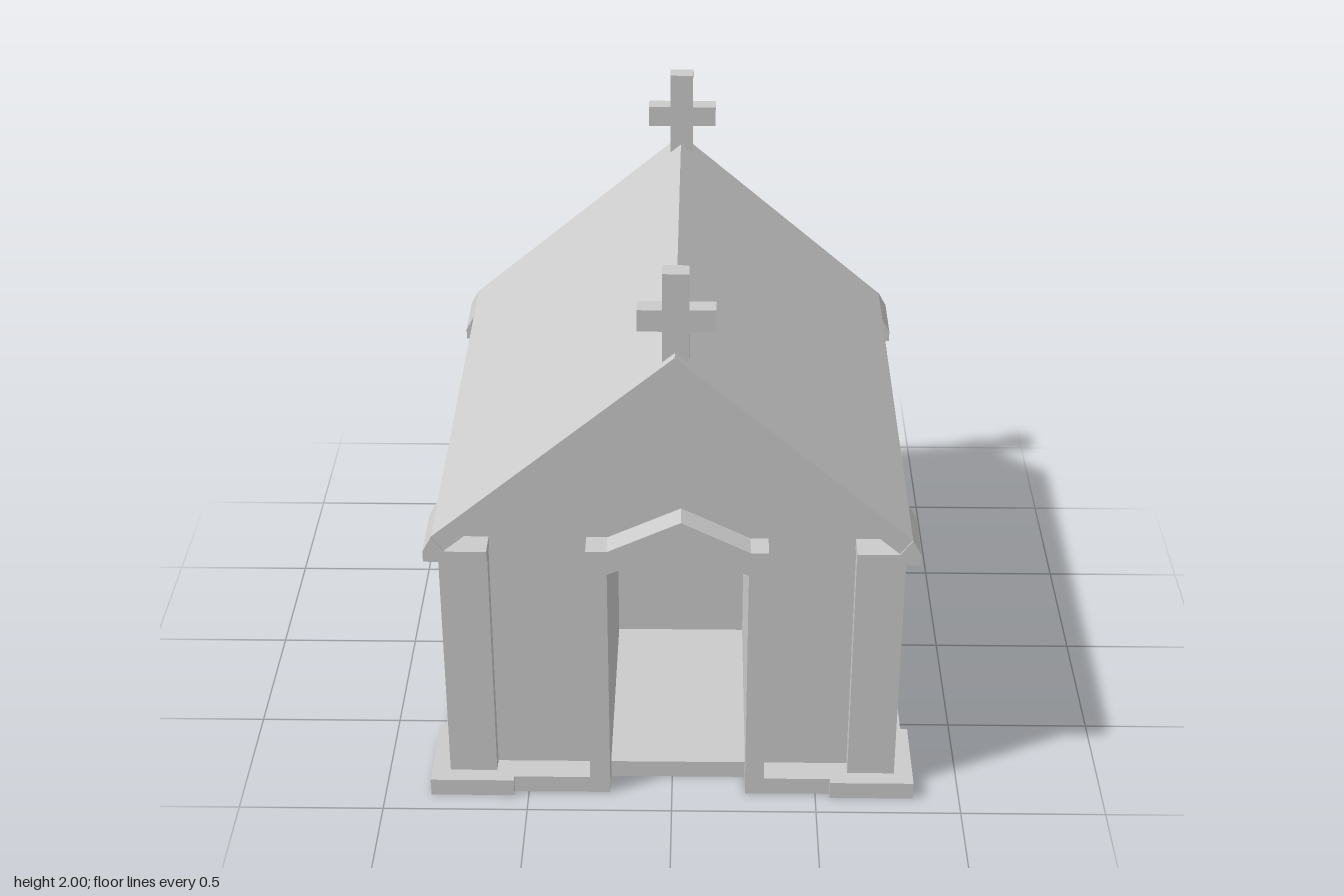
import * as THREE from 'three';

const material = new THREE.MeshStandardMaterial({ color: 0xcccccc, flatShading: true });

function add(parent, name, geometry) {
  const mesh = new THREE.Mesh(geometry, material);
  mesh.name = name;
  parent.add(mesh);
  return mesh;
}

// Box given by its minimum and maximum corners
function box(parent, name, [x0, y0, z0], [x1, y1, z1]) {
  const g = new THREE.BoxGeometry(x1 - x0, y1 - y0, z1 - z0);
  g.translate((x0 + x1) / 2, (y0 + y1) / 2, (z0 + z1) / 2);
  return add(parent, name, g);
}

const shape = (pts) => new THREE.Shape(pts.map(([x, y]) => new THREE.Vector2(x, y)));

// Outline in x, y extruded from z0 to z1
function prism(parent, name, outline, z0, z1) {
  const g = new THREE.ExtrudeGeometry(outline, { depth: z1 - z0, bevelEnabled: false });
  g.translate(0, 0, z0);
  return add(parent, name, g);
}

export function createModel() {
  const model = new THREE.Group();
  model.name = 'chapel';
  const floorY = 0.065, wallX = 0.737, wallZ = 0.81, doorBack = 0;
  const doorL = -0.215, doorR = 0.255;

  // Plinth, cut back in front of the doorway
  const plinth = new THREE.Group();
  plinth.name = 'plinth';
  model.add(plinth);
  box(plinth, 'plinthSlab', [-0.815, 0, -0.9], [0.815, floorY, wallZ]);
  box(plinth, 'plinthFrontRight', [-0.815, 0, wallZ], [doorL, floorY, 0.9]);
  box(plinth, 'plinthFrontLeft', [doorR, 0, wallZ], [0.815, floorY, 0.9]);

  // Walls: the front part has the doorway passage, the back part is solid
  const gable = [[-wallX, floorY], [wallX, floorY], [wallX, 1.01], [0.01, 1.65], [-wallX, 1.01]];
  const frontWall = shape([
    [-wallX, floorY], [doorL, floorY], [doorL, 0.91], [0.03, 1.02], [doorR, 0.91], [doorR, floorY],
    ...gable.slice(1),
  ]);
  prism(model, 'frontWalls', frontWall, doorBack, wallZ);
  prism(model, 'backWalls', shape(gable), -wallZ, doorBack);

  // Door frame with a pointed head
  const frame = shape([
    [-0.285, 0], [doorL, 0], [doorL, 0.91], [0.03, 1.02], [doorR, 0.91], [doorR, 0],
    [0.32, 0], [0.32, 1], [0.26, 1], [0.03, 1.115], [-0.215, 1], [-0.285, 1],
  ]);
  prism(model, 'doorFrame', frame, wallZ - 0.005, 0.901);

  // Gabled roof slab
  const roof = shape([
    [-0.75, 1], [0.01, 1.64], [0.75, 1], [0.79, 1.055], [0.01, 1.725], [-0.79, 1.055],
  ]);
  prism(model, 'roof', roof, -0.9, 0.9);

  // Corner footings, pillars and eave caps
  for (const sx of [-1, 1]) {
    for (const sz of [-1, 1]) {
      const corner = new THREE.Group();
      corner.name = (sz > 0 ? 'front' : 'back') + (sx > 0 ? 'Left' : 'Right') + 'Corner';
      model.add(corner);
      const span = (a, b, s) => (s > 0 ? [a, b] : [-b, -a]);
      const block = (name, x, y, z) => {
        const [x0, x1] = span(x[0], x[1], sx), [z0, z1] = span(z[0], z[1], sz);
        box(corner, name, [x0, y[0], z0], [x1, y[1], z1]);
      };
      block('footing', [0.55, 0.84], [0, floorY], [0.61, 0.922]);
      block('pillar', [0.612, 0.775], [floorY, 0.97], [0.675, 0.865]);
      const cap = [[0.61, 0.96], [0.82, 0.96], [0.82, 1], [0.79, 1.055], [0.75, 1], [0.61, 1]];
      const [z0, z1] = span(0.675, 0.905, sz);
      prism(corner, 'eaveCap', shape(cap.map(([x, y]) => [sx * x, y])), z0, z1);
    }
  }

  // Crosses on both ends of the ridge
  const cross = shape([
    [-0.03, 1.68], [0.055, 1.68], [0.055, 1.8], [0.14, 1.8], [0.14, 1.875], [0.055, 1.875],
    [0.055, 2], [-0.03, 2], [-0.03, 1.875], [-0.11, 1.875], [-0.11, 1.8], [-0.03, 1.8],
  ]);
  prism(model, 'frontCross', cross, 0.803, 0.867);
  prism(model, 'backCross', cross, -0.867, -0.803);

  return model;
}
